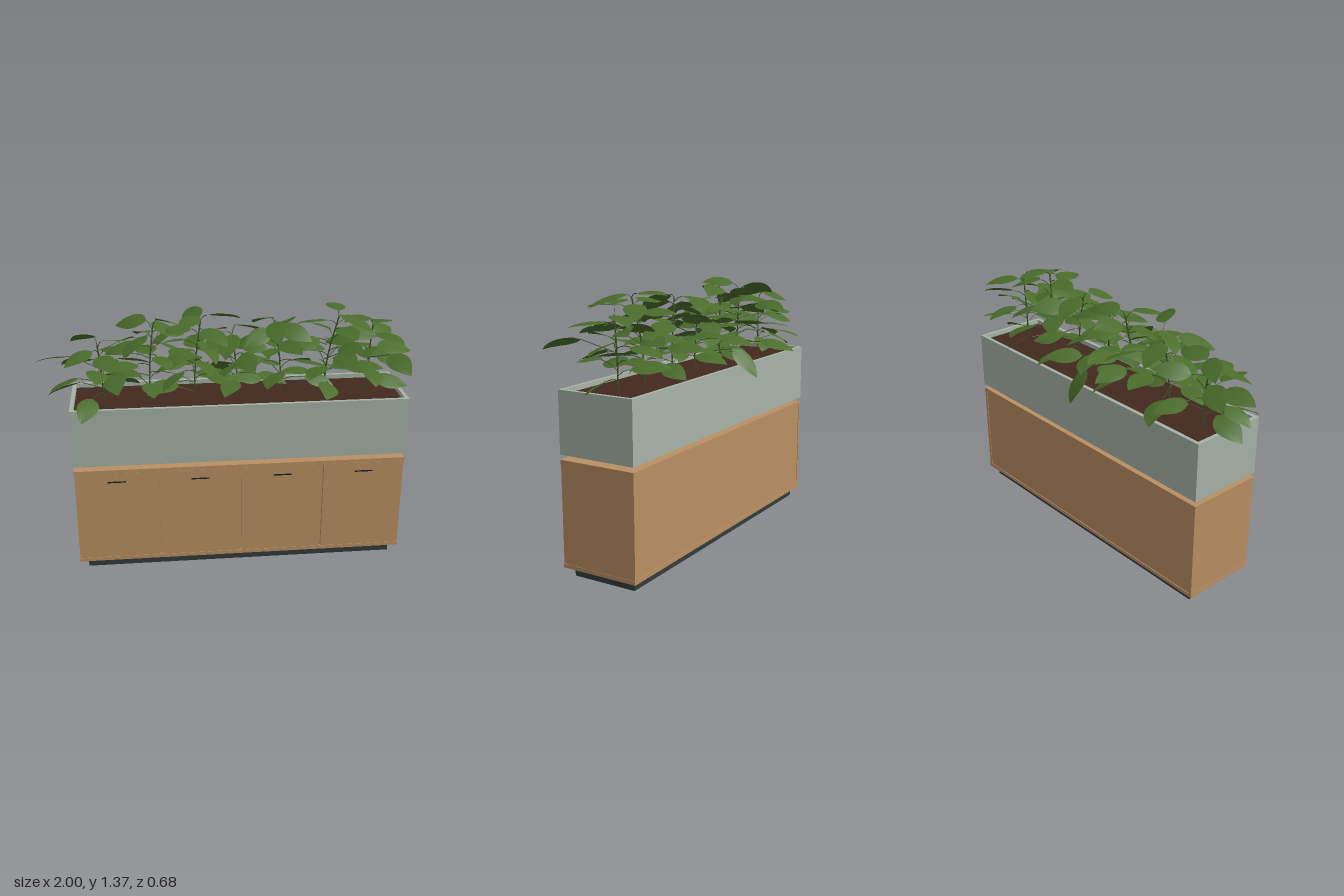
import * as THREE from 'three';

const mat = (name, color, double = false) => {
  const m = new THREE.MeshStandardMaterial({ color });
  m.name = name;
  if (double) m.side = THREE.DoubleSide;
  return m;
};

// small seeded generator
function seeded(seed) {
  return () => {
    seed = (seed * 16807) % 2147483647;
    return seed / 2147483647;
  };
}

// unit leaf: grows along +z, pointed oval, folded at the midrib, gently arched
function leafGeometry() {
  const g = new THREE.PlaneGeometry(1, 1, 4, 10);
  const p = g.attributes.position;
  for (let i = 0; i < p.count; i++) {
    const u = p.getX(i) * 2, t = p.getY(i) + 0.5;
    const half = 0.3 * Math.pow(Math.sin(Math.PI * Math.pow(t, 0.78)), 0.85) || 0;
    const x = -u * half;
    p.setXYZ(i, x, 0.15 * Math.abs(x) - 0.6 * x * x + 0.16 * t - 0.24 * t * t, t);
  }
  g.computeVertexNormals();
  return g;
}

export function createModel() {
  const model = new THREE.Group();
  model.name = 'planterCabinet';
  const wood = mat('wood', 0xb98f63);
  const base = mat('charcoal', 0x323b3b);
  const metal = mat('black metal', 0x1c1c1a);
  const stone = mat('grey green planter', 0xa7b3a7);
  const soilMat = mat('soil', 0x43291f);
  const leafMat = mat('leaf green', 0x4a6c2b, true);
  const stemMat = mat('stem green', 0x3a5222);

  // box from its minimum and maximum corners
  const box = (name, m, x0, x1, y0, y1, z0, z1, parent = model) => {
    const mesh = new THREE.Mesh(new THREE.BoxGeometry(x1 - x0, y1 - y0, z1 - z0), m);
    mesh.position.set((x0 + x1) / 2, (y0 + y1) / 2, (z0 + z1) / 2);
    mesh.name = name;
    parent.add(mesh);
  };

  // cabinet
  const X0 = -0.832, X1 = 0.934, Z0 = -0.22, Z1 = 0.202, T = 0.02;
  box('plinth', base, -0.787, 0.89, 0, 0.051, -0.185, 0.167);
  box('bottomBoard', wood, X0, X1, 0.051, 0.071, Z0, Z1);
  box('topBoard', wood, X0, X1, 0.575, 0.595, Z0, Z1);
  box('leftSide', wood, X1 - T, X1 - 0.002, 0.071, 0.575, Z0 + 0.001, 0.182);
  box('rightSide', wood, X0 + 0.002, X0 + T, 0.071, 0.575, Z0 + 0.001, 0.182);
  box('backPanel', wood, X0 + T, X1 - T, 0.071, 0.575, Z0 + 0.004, Z0 + 0.02);
  box('carcass', wood, X0 + T, X1 - T, 0.071, 0.575, Z0 + 0.02, 0.18);

  // doors with slim pulls
  const pitch = (X1 - X0) / 4;
  for (let i = 0; i < 4; i++) {
    const a = X0 + i * pitch, c = a + pitch / 2;
    box('door', wood, a + 0.003, a + pitch - 0.003, 0.072, 0.574, 0.182, Z1 - 0.001);
    box('handle', metal, c - 0.048, c + 0.048, 0.523, 0.528, Z1 - 0.001, Z1 + 0.005);
  }

  // feet between cabinet and planter
  for (const x of [-0.665, 0.767]) {
    for (const z of [0.122, -0.142]) {
      const foot = new THREE.Mesh(new THREE.CylinderGeometry(0.016, 0.02, 0.03, 20), base);
      foot.position.set(x, 0.609, z);
      foot.name = 'foot';
      model.add(foot);
    }
  }

  // planter trough with a dark underside
  const planter = new THREE.Group();
  planter.name = 'planter';
  model.add(planter);
  box('underside', base, X0 + 0.01, X1 - 0.01, 0.619, 0.622, Z0 + 0.01, Z1 - 0.01, planter);
  box('planterFloor', stone, X0, X1, 0.62, 0.64, Z0, Z1, planter);
  box('frontWall', stone, X0, X1, 0.64, 0.934, Z1 - T, Z1, planter);
  box('backWall', stone, X0, X1, 0.64, 0.934, Z0, Z0 + T, planter);
  box('leftWall', stone, X1 - T, X1, 0.64, 0.934, Z0 + T, Z1 - T, planter);
  box('rightWall', stone, X0, X0 + T, 0.64, 0.934, Z0 + T, Z1 - T, planter);
  box('soil', soilMat, X0 + T, X1 - T, 0.64, 0.91, Z0 + T, Z1 - T, planter);

  // plants
  const leafGeo = leafGeometry();
  const rand = seeded(2029);
  const vary = (a, b) => a + (b - a) * rand();
  const twig = (name, pts, r, parent) => {
    const mesh = new THREE.Mesh(
      new THREE.TubeGeometry(new THREE.CatmullRomCurve3(pts), 6, r, 5), stemMat);
    mesh.name = name;
    parent.add(mesh);
  };
  const addLeaf = (parent, pos, angle, tilt, roll, size) => {
    const leaf = new THREE.Mesh(leafGeo, leafMat);
    leaf.name = 'leaf';
    leaf.position.copy(pos);
    leaf.rotation.set(tilt, angle, roll, 'YXZ');
    leaf.scale.setScalar(size);
    parent.add(leaf);
  };

  // stem foot x, z, stem top height, lean in x, z, and leaf count
  const plants = [
    [-0.66, -0.01, 1.22, -0.02, 0.01, 13], [-0.42, 0.0, 1.3, 0.03, -0.03, 19],
    [-0.18, -0.02, 1.32, 0.04, -0.03, 19], [0.05, 0.0, 1.25, -0.03, -0.01, 16],
    [0.285, -0.01, 1.31, -0.04, 0.01, 17], [0.515, 0.0, 1.34, 0.06, 0.03, 18],
    [0.75, -0.01, 1.28, 0.02, 0.0, 13],
  ];
  plants.forEach(([x, z, top, lx, lz, n], k) => {
    const plant = new THREE.Group();
    plant.name = 'plant';
    model.add(plant);
    const at = (t) => new THREE.Vector3(x + lx * t * t, 0.9 + (top - 0.9) * t, z + lz * t * t);
    twig('stem', [at(0), at(0.5), at(1)], 0.004, plant);
    for (let i = 0; i < n; i++) {
      const h = i / (n - 1);
      const angle = k * 1.3 + i * 2.4 + vary(-0.4, 0.4);
      const reach = vary(0.04, 0.15) * (1 - 0.75 * h * h);
      const from = at(0.16 + 0.84 * h);
      const out = new THREE.Vector3(Math.sin(angle), 0, Math.cos(angle));
      const to = from.clone().addScaledVector(out, reach);
      to.y += vary(0.01, 0.05);
      to.x = THREE.MathUtils.clamp(to.x, -0.79, 0.79);
      to.z = THREE.MathUtils.clamp(to.z, -0.13, 0.13);
      const mid = from.clone().lerp(to, 0.5);
      mid.y += 0.008;
      twig('leafStalk', [from, mid, to], 0.002, plant);
      addLeaf(plant, to, angle + vary(-0.3, 0.3), vary(-0.2, 0.32), vary(-0.5, 0.5),
        vary(0.165, 0.208));
    }
  });

  // outer leaves reaching past the rim: root, stalk end, heading, tilt
  const outer = [
    [[0.05, 1.0, 0], [-0.01, 1.03, -0.2], 3.3, 0.75],
    [[-0.66, 0.98, 0], [-0.77, 1.0, -0.04], -1.7, 0.3],
    [[-0.66, 1.08, 0], [-0.8, 1.14, -0.04], -1.57, 0.0],
    [[0.75, 1.1, 0], [0.8, 1.15, -0.03], 1.57, 0.1],
    [[0.515, 1.1, 0], [0.56, 1.18, 0.145], 0.15, 0.1],
    [[0.75, 1.1, 0], [0.83, 1.16, 0.14], 0.3, 0.2],
    [[-0.42, 1.15, 0], [-0.36, 1.23, -0.15], 2.9, 0.0],
    [[-0.66, 1.05, 0], [-0.6, 1.1, 0.12], 0.1, 0.15],
  ];
  for (const [a, b, angle, tilt] of outer) {
    const from = new THREE.Vector3(...a), to = new THREE.Vector3(...b);
    twig('leafStalk', [from, to], 0.002, model);
    addLeaf(model, to, angle, tilt, 0.35, 0.2);
  }
  return model;
}
